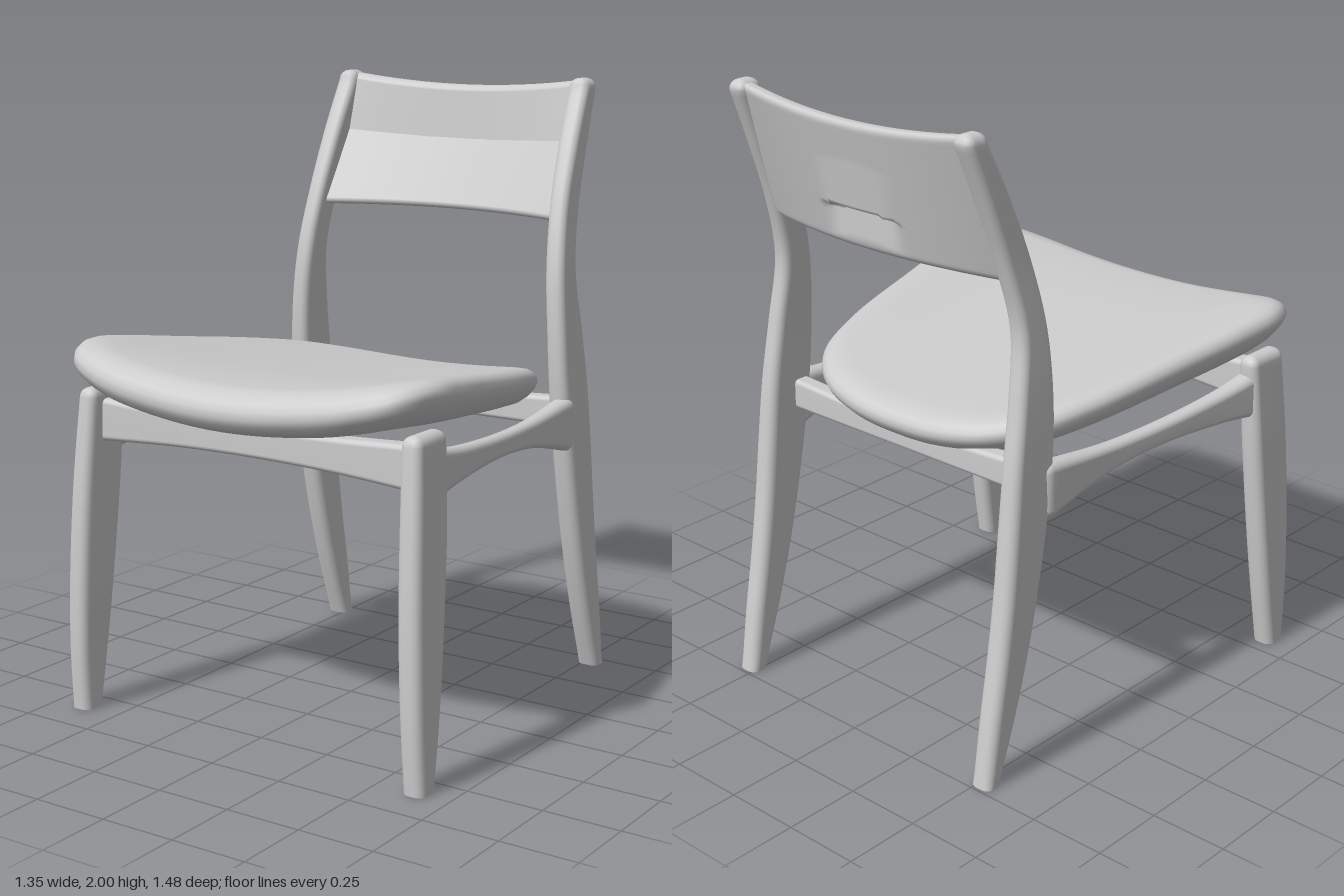
import * as THREE from 'three';

// Smooth interpolation between rows of numbers
function resample(rows, per) {
  const out = [];
  for (let i = 0; i < rows.length - 1; i++) {
    const a = rows[Math.max(i - 1, 0)], b = rows[i], c = rows[i + 1], d = rows[Math.min(i + 2, rows.length - 1)];
    for (let s = 0; s < per; s++) {
      const t = s / per;
      out.push(b.map((_, k) => 0.5 * (2 * b[k] + (c[k] - a[k]) * t + (2 * a[k] - 5 * b[k] + 4 * c[k] - d[k]) * t * t
        + (3 * b[k] - a[k] - 3 * c[k] + d[k]) * t * t * t)));
    }
  }
  out.push(rows[rows.length - 1]);
  return out;
}

// Rounded rectangle as a ring of [a, b]; its long b sides can be subdivided
function roundedRing(ha, hb, r, sub = 1) {
  const pts = [];
  [[1, 1], [-1, 1], [-1, -1], [1, -1]].forEach(([sa, sb], q) => {
    for (let k = 0; k <= 5; k++) {
      const t = (q + k / 5) * Math.PI / 2;
      pts.push([sa * (ha - r) + r * Math.cos(t), sb * (hb - r) + r * Math.sin(t)]);
    }
    if (q % 2) for (let k = 1; k < sub; k++) {
      const b = (hb - r) * (1 - 2 * k / sub);
      pts.push([-ha, b]);
    }
  }, pts);
  return pts;
}

// Skin over rings of Vector3, with flat end caps
function skin(rings, flip = false) {
  const n = rings[0].length, pos = [], idx = [];
  const tri = (a, b, c) => idx.push(...(flip ? [a, c, b] : [a, b, c]));
  rings.forEach(r => r.forEach(p => pos.push(p.x, p.y, p.z)));
  for (let i = 0; i < rings.length - 1; i++) for (let j = 0; j < n; j++) {
    const a = i * n + j, b = i * n + (j + 1) % n;
    tri(a, a + n, b);
    tri(b, a + n, b + n);
  }
  [rings[0], rings[rings.length - 1]].forEach((ring, end) => {
    const start = pos.length / 3;
    const mid = ring.reduce((m, p) => m.add(p), new THREE.Vector3()).divideScalar(n);
    [...ring, mid].forEach(p => pos.push(p.x, p.y, p.z));
    for (let j = 0; j < n; j++) {
      const a = start + j, b = start + (j + 1) % n;
      if (end) tri(a, start + n, b); else tri(a, b, start + n);
    }
  });
  const g = new THREE.BufferGeometry();
  g.setAttribute('position', new THREE.Float32BufferAttribute(pos, 3));
  g.setIndex(idx);
  g.computeVertexNormals();
  return g;
}

// Bar from rows [t, aLow, aHigh, bLow, bHigh]; round sets the rounded tip length at each end
function bar(rows, place, { flip = false, soft = 0.75, roundStart = 0, roundEnd = 0 } = {}) {
  const dir = Math.sign(rows[rows.length - 1][0] - rows[0][0]);
  const list = resample(rows, 6).map(r => ({ r, t: r[0], inset: 0 }));
  const tip = (r, len, sign) => [20, 40, 60, 78, 90].map(d => {
    const q = d * Math.PI / 180;
    return { r, t: r[0] + sign * dir * len * Math.sin(q), inset: len * (1 - Math.cos(q)) };
  });
  const first = list[0].r, last = list[list.length - 1].r;
  if (roundEnd) list.push(...tip(last, roundEnd, 1));
  if (roundStart) list.unshift(...tip(first, roundStart, -1).reverse());
  return skin(list.map(({ r, t, inset }) => {
    const ha = (r[2] - r[1]) / 2 - inset, hb = (r[4] - r[3]) / 2 - inset;
    return roundedRing(ha, hb, Math.min(ha, hb) * soft)
      .map(([a, b]) => place(t, (r[1] + r[2]) / 2 + a, (r[3] + r[4]) / 2 + b));
  }), flip);
}

// Cushioned seat: nested outlines on a saddle-curved, tilted surface
function seatGeometry() {
  const half = [[0.25, 0.73], [0.47, 0.705], [0.6, 0.65], [0.66, 0.53], [0.65, 0.37], [0.61, 0.15],
    [0.54, -0.2], [0.46, -0.4], [0.34, -0.505], [0.18, -0.555]];
  const loop = [[0, 0.74], ...half, [0, -0.565], ...half.slice().reverse().map(([x, z]) => [-x, z])];
  const outline = new THREE.CatmullRomCurve3(loop.map(([x, z]) => new THREE.Vector3(x, 0, z)), true)
    .getPoints(110).slice(0, -1).reverse();
  const profile = [[0.02, 0], [0.3, 0], [0.6, 0], [0.85, 0], [0.91, 0.06], [0.955, 0.2], [0.985, 0.38], [1, 0.56],
    [0.994, 0.72], [0.975, 0.85], [0.945, 0.94], [0.9, 0.985], [0.85, 1], [0.6, 1], [0.3, 1], [0.02, 1]];
  return skin(profile.map(([s, h]) => outline.map(p => {
    const x = p.x * s, z = 0.08 + (p.z - 0.08) * s;
    const nose = Math.max(0, z - 0.52);
    const top = 1.155 - 0.11 * (0.55 - z) + 0.18 * x * x - 0.9 * nose * nose;
    const thick = 0.127 + 0.02 * z;
    return new THREE.Vector3(x, top - thick * (1 - h), z);
  })));
}

// Curved, tilted back panel with a finger grip lip on its rear face
function panelGeometry() {
  const rings = [];
  for (let i = 0; i <= 60; i++) {
    const x = -0.46 + 0.92 * i / 60;
    const top = 1.962 + 0.16 * x * x, bottom = 1.552 - 0.03 * x * x;
    const hb = (top - bottom) / 2;
    rings.push(roundedRing(0.03, hb, 0.022, 44).map(([a, b]) => {
      const y = (top + bottom) / 2 + b, v = (b / hb + 1) / 2;
      let z = -0.6 - 0.27 * (y - 1.55) + x * x * (0.32 - 0.15 * v) + a * (1.17 - 0.34 * v);
      if (a < -0.02) {
        const fade = 1 - THREE.MathUtils.smoothstep(Math.abs(x), 0.1, 0.17);
        const d = y - (1.69 - 0.8 * x * x);
        if (d >= 0) z -= 0.012 * fade * Math.max(0, 1 - d / 0.15);
        else z += 0.024 * fade * Math.max(0, 1 + d / 0.1);
      }
      return new THREE.Vector3(x, y, z);
    }));
  }
  return skin(rings);
}

export function createModel() {
  const group = new THREE.Group();
  const frame = new THREE.MeshStandardMaterial({ color: 0xcccccc });
  frame.name = 'pale grey';
  const add = (name, geometry) => {
    const mesh = new THREE.Mesh(geometry, frame);
    mesh.name = name;
    group.add(mesh);
  };

  add('seat', seatGeometry());
  add('backPanel', panelGeometry());

  // Legs: [y, xLow, xHigh, zLow, zHigh]
  const frontLeg = [[0, 0.6, 0.675, 0.545, 0.63], [0.2, 0.595, 0.672, 0.513, 0.642], [0.4, 0.588, 0.667, 0.487, 0.643],
    [0.6, 0.582, 0.66, 0.465, 0.636], [0.8, 0.576, 0.652, 0.447, 0.622], [1.03, 0.569, 0.638, 0.436, 0.6]];
  const backLeg = [[0, 0.485, 0.56, -0.74, -0.675], [0.2, 0.483, 0.562, -0.71, -0.605], [0.4, 0.482, 0.562, -0.675, -0.545],
    [0.6, 0.481, 0.561, -0.645, -0.497], [0.8, 0.48, 0.558, -0.622, -0.458], [1.0, 0.479, 0.552, -0.598, -0.428],
    [1.2, 0.473, 0.542, -0.566, -0.418], [1.4, 0.459, 0.526, -0.543, -0.43], [1.6, 0.443, 0.508, -0.588, -0.478],
    [1.8, 0.429, 0.498, -0.658, -0.555], [1.97, 0.418, 0.49, -0.724, -0.636]];
  // Side rail, front to back: [z, xLow, xHigh, yLow, yHigh]
  const sideRail = [[0.45, 0.56, 0.632, 0.855, 1.0], [0.3, 0.553, 0.614, 0.872, 0.975], [0.05, 0.537, 0.592, 0.884, 0.957],
    [-0.2, 0.516, 0.573, 0.865, 0.956], [-0.45, 0.492, 0.565, 0.805, 0.98]];
  for (const s of [1, -1]) {
    const side = s > 0 ? 'left' : 'right', flip = s < 0;
    const upright = (t, a, b) => new THREE.Vector3(s * a, t, b);
    add(side + 'FrontLeg', bar(frontLeg, upright, { flip, roundEnd: 0.03 }));
    add(side + 'BackLeg', bar(backLeg, upright, { flip, roundEnd: 0.03 }));
    add(side + 'SideRail', bar(sideRail, (t, a, b) => new THREE.Vector3(s * a, b, t),
      { flip, roundStart: 0.025, roundEnd: 0.035 }));
  }

  // Cross rails: [x, zLow, zHigh, yLow, yHigh]
  const across = (t, a, b) => new THREE.Vector3(t, b, a);
  add('frontRail', bar([[-0.59, 0.485, 0.555, 0.885, 1.025], [-0.3, 0.485, 0.55, 0.902, 1.01], [0, 0.485, 0.55, 0.908, 1.005],
    [0.3, 0.485, 0.55, 0.902, 1.01], [0.59, 0.485, 0.555, 0.885, 1.025]], across, { soft: 0.5 }));
  add('backRail', bar([[-0.51, -0.51, -0.45, 0.88, 0.98], [0, -0.51, -0.45, 0.88, 0.96], [0.51, -0.51, -0.45, 0.88, 0.98]],
    across, { soft: 0.5 }));
  return group;
}
